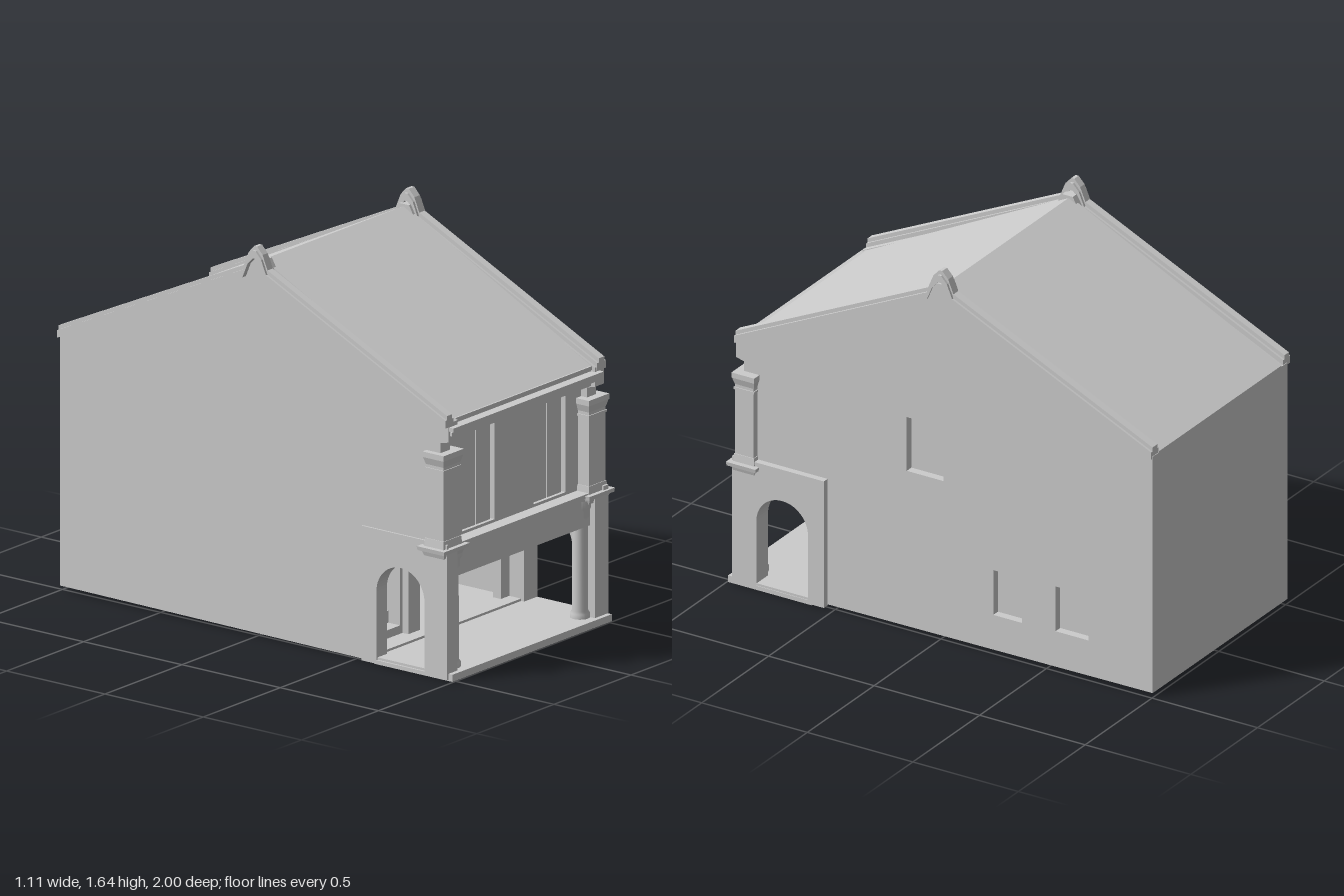
import * as THREE from 'three';

export function createModel() {
  const house = new THREE.Group();
  house.name = 'terraceHouse';
  const plaster = new THREE.MeshStandardMaterial({ color: 0xcccccc });
  plaster.name = 'plaster';

  const add = (name, geometry) => {
    const mesh = new THREE.Mesh(geometry, plaster);
    mesh.name = name;
    house.add(mesh);
    return mesh;
  };
  // box given by its limits
  const box = (name, x0, x1, y0, y1, z0, z1) => {
    const g = new THREE.BoxGeometry(x1 - x0, y1 - y0, z1 - z0);
    g.translate((x0 + x1) / 2, (y0 + y1) / 2, (z0 + z1) / 2);
    return add(name, g);
  };
  const polygon = (pts) => new THREE.Shape(pts.map(([a, b]) => new THREE.Vector2(a, b)));
  const rect = (a0, a1, b0, b1) => polygon([[a0, b0], [a1, b0], [a1, b1], [a0, b1]]);
  // profile drawn in (z, y) and extruded between two x positions
  const across = (name, shape, x0, x1) => {
    const g = new THREE.ExtrudeGeometry(shape, { depth: x1 - x0, bevelEnabled: false, curveSegments: 14 });
    g.rotateY(-Math.PI / 2);
    g.translate(x1, 0, 0);
    return add(name, g);
  };
  // four-sided block with different bottom and top half sizes
  const taper = (name, x, z, y0, y1, [bx, bz], [tx, tz]) => {
    const g = new THREE.BoxGeometry(2, y1 - y0, 2);
    const p = g.attributes.position;
    for (let i = 0; i < p.count; i++) {
      const top = p.getY(i) > 0;
      p.setX(i, p.getX(i) * (top ? tx : bx));
      p.setZ(i, p.getZ(i) * (top ? tz : bz));
    }
    g.computeVertexNormals();
    g.translate(x, (y0 + y1) / 2, z);
    return add(name, g);
  };
  const archHole = () => {
    const h = new THREE.Path();
    h.moveTo(0.615, 0.02);
    h.lineTo(0.86, 0.02);
    h.lineTo(0.86, 0.308);
    h.absarc(0.7375, 0.308, 0.1225, 0, Math.PI, false);
    h.lineTo(0.615, 0.02);
    return h;
  };

  // floors, rear wall and ceiling
  box('porchFloor', -0.515, 0.52, 0, 0.03, 0.6, 0.995);
  box('houseFloor', -0.5, 0.48, 0.015, 0.04, -0.99, 0.6);
  box('rearWall', -0.515, 0.495, 0.02, 1.075, -1, -0.97);
  box('upperFloor', -0.46, 0.44, 0.52, 0.55, -0.97, 0.93);

  // side walls with arched passage and gable
  const gable = [[-0.995, 0.02], [0.55, 0.01], [0.975, 0.01], [0.975, 0.54], [0.935, 0.56], [0.935, 0.95],
    [0.935, 0.99], [0.975, 1.0], [0.975, 1.08], [0.07, 1.51], [0.03, 1.58], [-0.02, 1.58], [-0.06, 1.51], [-0.995, 1.075]];
  const windows = [[-0.01, 0.165, 0.705, 0.945], [-0.38, -0.245, 0.17, 0.37], [-0.695, -0.54, 0.175, 0.375]];
  const leftWall = polygon(gable);
  leftWall.holes.push(archHole());
  windows.forEach((w) => leftWall.holes.push(rect(...w)));
  across('leftWall', leftWall, 0.435, 0.495);
  windows.forEach(([z0, z1, y0, y1]) => box('sideWindow', 0.438, 0.46, y0, y1, z0, z1));
  const rightWall = polygon(gable);
  rightWall.holes.push(archHole());
  across('rightWall', rightWall, -0.515, -0.455);

  // raised panels around the arches
  const panel = () => {
    const s = rect(0.54, 0.975, 0.005, 0.57);
    s.holes.push(archHole());
    return s;
  };
  across('leftArchPanel', panel(), 0.493, 0.523);
  across('rightArchPanel', panel(), -0.523, -0.513);

  // roof and stepped gable copings
  across('roof', polygon([[0.955, 1.085], [0, 1.57], [-1, 1.08], [-1, 1.05], [0, 1.53], [0.955, 1.05]]), -0.47, 0.45);
  const coping = (name, x0, x1, lo, hi) => {
    const line = [[0.978, 1.115], [0.065, 1.55], [0.04, 1.61], [0.012, 1.64], [-0.002, 1.64],
      [-0.03, 1.61], [-0.055, 1.55], [-0.998, 1.115]];
    const top = line.map(([z, y]) => [z, y + hi]);
    const bottom = line.map(([z, y]) => [z, y + lo]).reverse();
    across(name, polygon([...top, ...bottom]), x0, x1);
  };
  [[-0.538, -0.485], [0.447, 0.503]].forEach(([a, b]) => {
    coping('copingBase', a, b, -0.05, -0.018);
    coping('copingCap', a + 0.01, b - 0.01, -0.03, 0);
  });

  // eave gutter and fascia
  box('fascia', -0.51, 0.46, 1.0, 1.065, 0.88, 0.955);
  box('gutterLip', -0.505, 0.46, 1.025, 1.04, 0.95, 0.985);
  box('gutter', -0.51, 0.465, 1.045, 1.062, 0.95, 0.998);
  box('eaveStrip', -0.47, 0.45, 1.07, 1.085, 0.93, 0.962);

  // upper front wall with two recessed double shutters
  const front = rect(-0.46, 0.44, 0.55, 1.03);
  const bays = [[-0.337, -0.125], [0.125, 0.335]];
  bays.forEach(([a, b]) => front.holes.push(rect(a, b, 0.57, 0.98)));
  const frontGeometry = new THREE.ExtrudeGeometry(front, { depth: 0.03, bevelEnabled: false });
  frontGeometry.translate(0, 0, 0.875);
  add('upperFrontWall', frontGeometry);
  bays.forEach(([a, b]) => {
    const m = (a + b) / 2;
    box('shutter', a, m - 0.004, 0.57, 0.975, 0.87, 0.89);
    box('shutter', m + 0.004, b - 0.012, 0.57, 0.975, 0.87, 0.89);
    box('shutterBacking', a, b, 0.57, 0.98, 0.86, 0.875);
  });

  // string course and porch beam
  box('stringCourse', -0.42, 0.42, 0.538, 0.558, 0.87, 0.965);
  box('porchBeam', -0.455, 0.435, 0.415, 0.54, 0.88, 0.95);

  // corner pilasters, their bands, and the round porch columns
  [[-0.475, -1], [0.468, 1]].forEach(([x, side]) => {
    const z = 0.917;
    taper('lowerCornice', x, z, 0.512, 0.535, [0.06, 0.05], [0.067, 0.058]);
    taper('lowerCornice', x, z, 0.535, 0.552, [0.08, 0.068], [0.083, 0.07]);
    taper('pilasterBase', x, z, 0.552, 0.585, [0.06, 0.05], [0.057, 0.047]);
    taper('pilaster', x, z, 0.585, 0.9, [0.054, 0.044], [0.054, 0.044]);
    taper('pilasterBand', x, z, 0.872, 0.882, [0.058, 0.048], [0.058, 0.048]);
    taper('pilasterCapital', x, z, 0.895, 0.925, [0.055, 0.045], [0.064, 0.053]);
    taper('pilasterCapital', x, z, 0.925, 0.948, [0.066, 0.054], [0.066, 0.054]);

    const cx = side < 0 ? -0.425 : 0.413;
    const column = [[0.04, 0.03], [0.04, 0.05], [0.033, 0.06], [0.031, 0.44], [0.038, 0.455], [0.038, 0.48], [0.046, 0.495], [0.046, 0.525]];
    const g = new THREE.LatheGeometry(column.map(([r, y]) => new THREE.Vector2(r, y)), 20);
    g.translate(cx, 0, 0.917);
    add('porchColumn', g);
  });

  // inner porch wall around the doorway and stair opening
  box('innerWall', -0.455, -0.39, 0.03, 0.53, 0.5, 0.54);
  box('innerWall', -0.22, -0.145, 0.03, 0.53, 0.5, 0.54);
  box('innerWall', 0.38, 0.44, 0.03, 0.53, 0.5, 0.54);
  box('innerLintel', -0.455, 0.44, 0.45, 0.53, 0.5, 0.54);

  // staircase beside the room
  for (let i = 0; i < 9; i++) {
    box('stairStep', -0.455, -0.235, 0.03, 0.075 + i * 0.05, 0.45 - i * 0.06, 0.51 - i * 0.06);
  }
  box('stairWall', -0.235, -0.22, 0.03, 0.53, -0.1, 0.51);

  return house;
}
